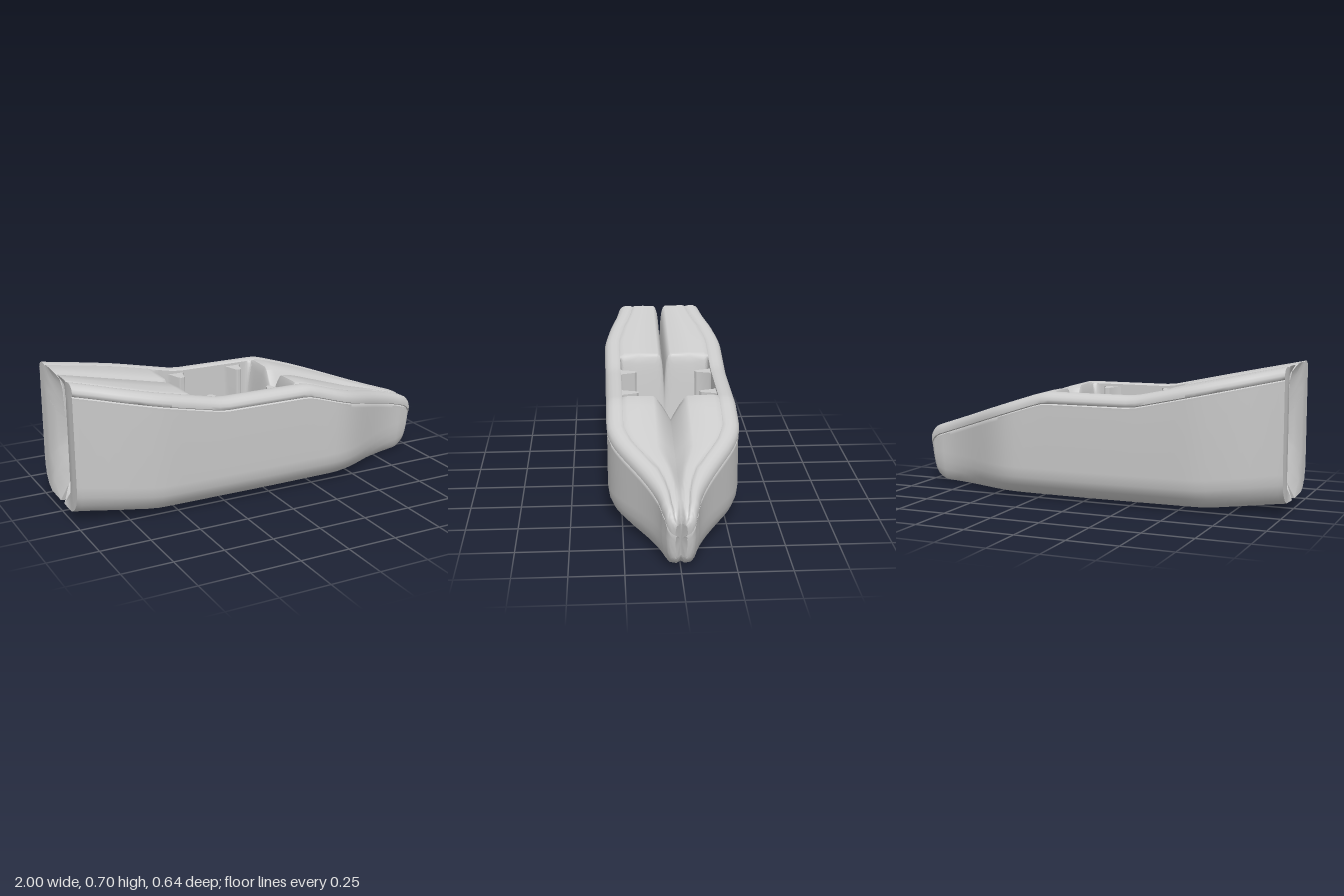
import * as THREE from 'three';
import { toCreasedNormals } from 'three/addons/utils/BufferGeometryUtils.js';

const { lerp, smoothstep } = THREE.MathUtils;
const gray = new THREE.MeshStandardMaterial({ color: 0xcccccc, side: THREE.DoubleSide });
gray.name = 'hull gray';

// piecewise-linear profile along the length, softened away from the ends
function profile(table, soft = 0.05) {
  const at = (x) => {
    let i = 0;
    while (i < table.length - 2 && x > table[i + 1][0]) i++;
    const [[x0, y0], [x1, y1]] = [table[i], table[i + 1]];
    return lerp(y0, y1, THREE.MathUtils.clamp((x - x0) / (x1 - x0), 0, 1));
  };
  return (x) => {
    const w = Math.min(soft, 1 - Math.abs(x));
    return (at(x - w) + 2 * at(x - w / 2) + 2 * at(x) + 2 * at(x + w / 2) + at(x + w)) / 8;
  };
}

const halfWidth = profile([[-1, 0.232], [-0.9, 0.25], [-0.78, 0.285], [-0.6, 0.318], [0.4, 0.318], [0.5, 0.283],
  [0.6, 0.225], [0.7, 0.165], [0.8, 0.115], [0.88, 0.086], [0.95, 0.08], [0.972, 0.073], [0.988, 0.06], [0.996, 0.045], [1, 0.026]]);
const top = profile([[-1, 0.703], [-0.28, 0.547], [0.2, 0.545], [0.95, 0.305], [0.98, 0.28], [1, 0.235]], 0.03);
const bottom = profile([[-1, 0.046], [-0.62, 0.003], [0, 0], [0.9, 0.003], [0.96, 0.015], [0.985, 0.035], [1, 0.06]], 0.03);
const keelNotch = profile([[-1, 0.09], [-0.8, 0.03], [-0.5, 0.01], [1, 0.008]]);
const grooveDepth = profile([[-1, 0.22], [-0.4, 0.18], [0.15, 0.13], [0.6, 0.06], [0.85, 0.015], [1, 0.01]]);
const railWidth = (x) => Math.min(0.08, halfWidth(x) * 0.5);

// how far a station has dropped from deck into the open cockpit
const cockpit = (x) => smoothstep(x, -0.43, -0.36) * (1 - smoothstep(x, 0.11, 0.16));

// each cross-section part is a list of [z, y]
function hullSection(x) {
  const w = halfWidth(x), t = top(x), b = bottom(x), k = Math.min(1, (t - b) / 0.3);
  return [[0, b + keelNotch(x)], [Math.min(0.025, w * 0.25), b + 0.002], [w * 0.62, b + 0.009 * k], [w * 0.79, b + 0.03 * k],
    [w * 0.91, b + 0.065 * k], [w * 0.975, b + 0.11 * k], [w * 0.995, b + 0.16 * k], [w - 0.002, t - 0.075],
    [w - 0.001, t - 0.06], [w - 0.009, t - 0.055]];
}
function railSection(x) {
  const w = halfWidth(x), t = top(x), r = railWidth(x);
  return [[w - 0.009, t - 0.055], [w, t - 0.05], [w + 0.001, t - 0.035], [w - r * 0.07, t - 0.019],
    [w - r * 0.22, t - 0.007], [w - r * 0.45, t], [w - r * 0.75, t], [w - r * 0.94, t - 0.003], [w - r, t - 0.007]];
}
function deckSection(x) {
  const t = top(x), z = halfWidth(x) - railWidth(x), d = grooveDepth(x), c = cockpit(x);
  const aft = [[0.034, t - 0.002], [0.022, t - 0.012], [0.012, t - 0.04], [0.006, t - 0.09], [0, t - d]];
  const corner = Math.min(0.085, z * 0.5);
  const fore = [[corner, t - 0.002], [corner * 0.8, t - d * 0.12], [corner * 0.5, t - d * 0.4],
    [corner * 0.2, t - d * 0.75], [0, t - d]];
  const inner = x < -0.1 ? aft : fore;
  const deck = [[z, t - 0.007], [z * 0.97, t - 0.003], [z * 0.9, t], [lerp(inner[0][0], z, 0.5), t], ...inner];
  const well = [[z, t - 0.007], [z, t - 0.04], [z, 0.25], [z, 0.11], [z - 0.02, 0.088],
    [0.12, 0.085], [0.06, 0.085], [0.02, 0.082], [0, 0.075]];
  return deck.map(([dz, dy], i) => [lerp(dz, well[i][0], c), lerp(dy, well[i][1], c)]);
}

// raked stem, with the inner corners of both ends rounded toward the seam
function place(x, [z, y]) {
  const rake = 0.035 * smoothstep(x, 0.85, 1) * Math.max(0, 1 - y / 0.235);
  const sternRound = 0.4 * Math.max(0, -0.9 - x) * (1 - smoothstep(z, 0, 0.03));
  const bowRound = 0.3 * Math.max(0, x - 0.9) * (1 - smoothstep(z, 0, 0.022));
  return [x - rake + sternRound - bowRound, y, z];
}

// skin rows of points, mirrored by side
function loft(name, rows, side) {
  const n = rows[0].length, pos = [], index = [];
  for (const row of rows) for (const [x, y, z] of row) pos.push(x, y, z * side);
  for (let i = 0; i < rows.length - 1; i++) {
    for (let j = 0; j < n - 1; j++) {
      const a = i * n + j, b = a + n, c = a + 1, d = b + 1;
      if (side > 0) index.push(a, b, c, b, d, c);
      else index.push(a, c, b, b, c, d);
    }
  }
  const geo = new THREE.BufferGeometry();
  geo.setAttribute('position', new THREE.Float32BufferAttribute(pos, 3));
  geo.setIndex(index);
  const mesh = new THREE.Mesh(toCreasedNormals(geo, 1), gray);
  mesh.name = name;
  return mesh;
}

// wedge-shaped rib standing against the cockpit wall
function rib(x, side) {
  const wall = halfWidth(x) - railWidth(x) + 0.005;
  const shape = new THREE.Shape([[-0.055, wall], [-0.034, wall - 0.014], [-0.016, 0.166], [-0.008, 0.155], [0.008, 0.155],
    [0.016, 0.166], [0.034, wall - 0.014], [0.055, wall]].map(([px, z]) => new THREE.Vector2(px, -z * side)));
  const geo = new THREE.ExtrudeGeometry(shape, { depth: top(x) - 0.1, bevelEnabled: false });
  geo.rotateX(-Math.PI / 2);
  const mesh = new THREE.Mesh(toCreasedNormals(geo, 1), gray);
  mesh.position.set(x, 0.08, 0);
  mesh.name = 'cockpitRib';
  return mesh;
}

export function createModel() {
  const model = new THREE.Group();
  model.name = 'boat';

  // stations, closer together at the bulkheads and the bow
  const stations = [-0.975, 0.925, 0.965, 0.975, 0.982, 0.988, 0.992, 0.996, 0.9985];
  for (let i = 0; i < 40; i++) stations.push(-1 + i * 0.05);
  for (let i = 0; i <= 10; i++) stations.push(-0.43 + i * 0.007, 0.11 + i * 0.005);
  stations.sort((a, b) => a - b);
  const xs = stations.filter((x, i) => i === 0 || x - stations[i - 1] > 0.001);
  xs.push(1);

  const ring = (x) => [...hullSection(x), ...railSection(x), ...deckSection(x)].map((p) => place(x, p));
  const toward = (points, pole, f) => points.map((p) => p.map((v, i) => lerp(v, pole[i], f)));

  for (const side of [1, -1]) {
    const half = new THREE.Group();
    half.name = side > 0 ? 'frontHalf' : 'backHalf';
    const skin = (name, section) => half.add(loft(name, xs.map((x) => section(x).map((p) => place(x, p))), side));
    skin('hullSide', hullSection);
    skin('gunwaleRail', railSection);
    skin('deckAndCockpit', deckSection);

    // transom hollowed toward the centre line
    const stern = ring(-1), hollow = [-0.86, 0.38, 0];
    const dish = ([, y, z]) => [-1 + 0.14 * (1 - smoothstep(z, -0.02, 0.15)) * (1 - Math.abs(y - 0.38) / 0.45), y, z];
    const inner = [1, 0.8, 0.6, 0.4, 0.2].map((f) => toward(stern, hollow, f).map(dish));
    half.add(loft('transom', [...inner, stern], side));

    // stem cap
    const bow = ring(1), tip = [0.955, 0.15, 0];
    half.add(loft('stem', [bow, toward(bow, tip, 1)], side));

    for (const x of [-0.28, 0.045]) half.add(rib(x, side));
    model.add(half);
  }
  return model;
}
